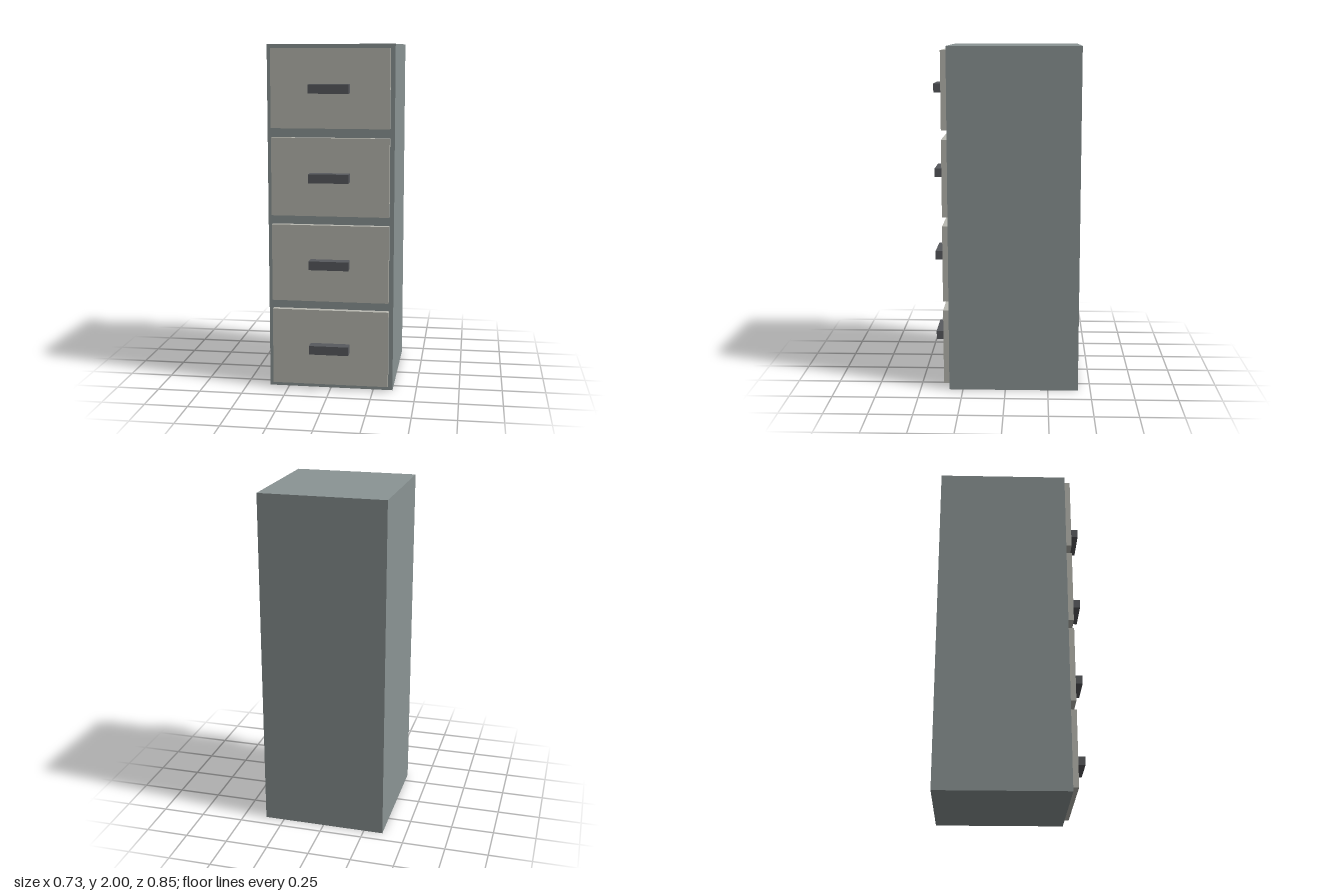
import * as THREE from 'three';

const mat = (name, color) => {
  const m = new THREE.MeshStandardMaterial({ color });
  m.name = name;
  return m;
};

export function createModel() {
  const cabinet = new THREE.Group();
  cabinet.name = 'filingCabinet';
  const bodyGrey = mat('body grey', 0x8b9494);
  const drawerGrey = mat('drawer warm grey', 0xb8b8b0);
  const handleGrey = mat('handle dark grey', 0x585a5e);

  // Box centred on x, spanning z0 to z1
  const box = (name, material, width, height, y, z0, z1) => {
    const mesh = new THREE.Mesh(new THREE.BoxGeometry(width, height, z1 - z0), material);
    mesh.name = name;
    mesh.position.set(0, y, (z0 + z1) / 2);
    return mesh;
  };

  cabinet.add(box('body', bodyGrey, 0.727, 2, 1, -0.427, 0.33));

  // Four drawers, each a front panel with a bar handle
  for (let i = 0; i < 4; i++) {
    const drawer = new THREE.Group();
    drawer.name = `drawer${i + 1}`;
    drawer.position.y = 0.253 + i * 0.5;
    drawer.add(
      box('drawerFront', drawerGrey, 0.676, 0.447, 0, 0.33, 0.364),
      box('handle', handleGrey, 0.228, 0.051, 0, 0.364, 0.427)
    );
    cabinet.add(drawer);
  }
  return cabinet;
}
